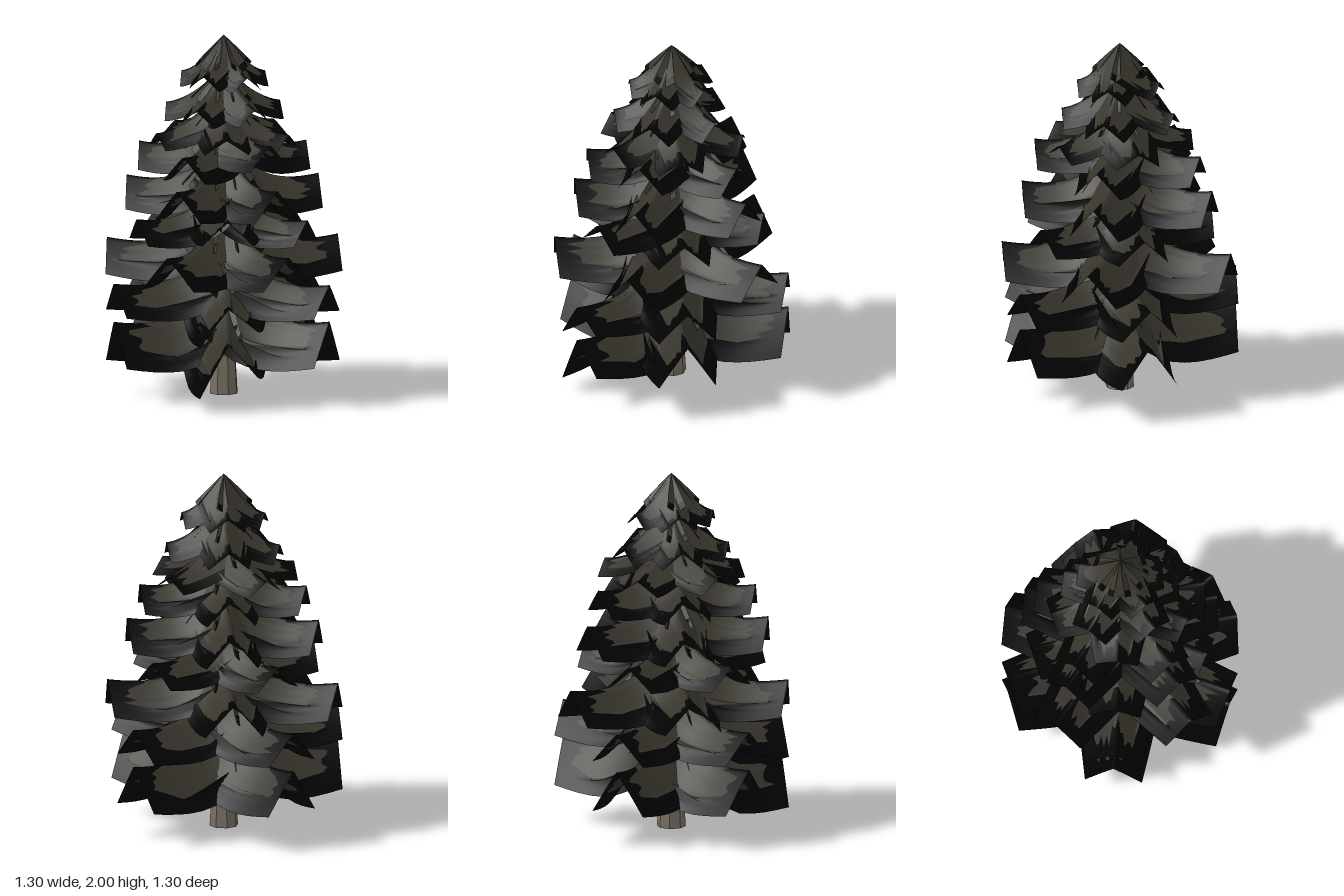
import * as THREE from 'three';
import { mergeGeometries } from 'three/addons/utils/BufferGeometryUtils.js';

// Small seeded generator for natural variation
function makeRandom(seed) {
  return () => {
    seed = (seed * 16807) % 2147483647;
    return seed / 2147483647;
  };
}

// Two sets of five branch directions, in degrees from +x towards +z
const EVEN = [45, 106, 177, 246, 332];
const ODD = [3, 75, 137, 207, 277];

// Tiers from bottom to top: reach, ridge height at the tip, flank drop,
// rise at the trunk, curve power, sag, half width at the tip;
// bent is one branch that is lifted and rolled differently
const TIERS = [
  { reach: 0.65, tip: 0.45, drop: 0.24, rise: 0.24, power: 3.3, sag: 0.11, half: 0.157, dirs: EVEN, bent: { dir: 106, lift: -0.07, roll: 0.06 } },
  { reach: 0.65, tip: 0.66, drop: 0.17, rise: 0.24, power: 3.3, sag: 0.1, half: 0.157, dirs: EVEN, bent: { dir: 106, lift: -0.08, roll: 0.045 } },
  { reach: 0.65, tip: 0.86, drop: 0.18, rise: 0.24, power: 3.3, sag: 0.1, half: 0.157, dirs: ODD },
  { reach: 0.515, tip: 1.01, drop: 0.13, rise: 0.22, power: 2.8, sag: 0.08, half: 0.14, dirs: EVEN, bent: { dir: 106, lift: 0.03, roll: 0 } },
  { reach: 0.54, tip: 1.21, drop: 0.17, rise: 0.22, power: 3, sag: 0.09, half: 0.14, dirs: ODD },
  { reach: 0.47, tip: 1.4, drop: 0.14, rise: 0.2, power: 2.6, sag: 0.08, half: 0.13, dirs: ODD, bent: { dir: 75, lift: 0.05, roll: 0 } },
  { reach: 0.4, tip: 1.48, drop: 0.08, rise: 0.2, power: 1.7, sag: 0, half: 0.12, dirs: EVEN },
  { reach: 0.32, tip: 1.63, drop: 0.09, rise: 0.2, power: 1.6, sag: 0, half: 0.11, dirs: ODD },
  { reach: 0.235, tip: 1.8, drop: 0.075, rise: 0.2, power: 1.6, sag: 0, half: 0.095, dirs: ODD },
];

// Point on a folded, drooping branch: u runs across (-1..1), v outwards (0..1);
// it is widest and steepest at the trunk
function branchPoint(t, u, v, lift, roll) {
  const side = Math.abs(u);
  const ridge = t.tip + t.rise * (1 - v) ** t.power - t.sag * v * (1 - v);
  const drop = t.drop + Math.sign(u) * roll * v + 0.08 * (1 - v) ** 2;
  const y = ridge - side ** 1.05 * drop + Math.min(v * 2, 1) * lift;
  return [v * t.reach * (1 - 0.025 * side), y, u * t.half * (1.65 - 0.65 * v)];
}

// Strip of the branch between two limits along its length
function branchStrip(columns, rows, point, from, to) {
  const positions = [];
  const index = [];
  for (let i = 0; i <= columns; i++) {
    for (let j = 0; j <= rows; j++) {
      const v = from[i] + (to[i] - from[i]) * (j / rows);
      positions.push(...point(-1 + (2 * i) / columns, v));
      if (i < columns && j < rows) {
        const a = i * (rows + 1) + j;
        const b = a + rows + 1;
        index.push(a, b, a + 1, a + 1, b, b + 1);
      }
    }
  }
  const geometry = new THREE.BufferGeometry();
  geometry.setAttribute('position', new THREE.Float32BufferAttribute(positions, 3));
  geometry.setIndex(index);
  geometry.computeVertexNormals();
  return geometry;
}

// Ragged limit between needles and fringe: forked at the ridge, short at the edges
function needleLimit(side, random) {
  if (side > 0.82) return 0.02;
  if (side > 0.66) return 0.2 + random() * 0.55;
  if (side < 0.16) return 0.62 + random() * 0.14;
  return 0.76 + random() * 0.15;
}

function buildTier(tier, number, random, needles, fringe) {
  const columns = 24;
  const inner = [];
  const outer = [];
  for (const degrees of tier.dirs) {
    const bent = tier.bent && tier.bent.dir === degrees;
    const lift = bent ? tier.bent.lift : -random() * 0.012;
    const roll = bent ? tier.bent.roll : 0;
    const point = (u, v) => branchPoint(tier, u, v, lift, roll);

    const limit = [];
    for (let i = 0; i <= columns; i++) {
      limit.push(needleLimit(Math.abs(-1 + (2 * i) / columns), random));
    }
    const start = limit.map(() => 0);
    const end = limit.map(() => 1);
    const turn = (-degrees * Math.PI) / 180;
    inner.push(branchStrip(columns, 9, point, start, limit).rotateY(turn));
    outer.push(branchStrip(columns, 8, point, limit, end).rotateY(turn));
  }
  const group = new THREE.Group();
  group.name = `branchTier${number + 1}`;
  const needleMesh = new THREE.Mesh(mergeGeometries(inner), needles);
  needleMesh.name = 'branchNeedles';
  const fringeMesh = new THREE.Mesh(mergeGeometries(outer), fringe);
  fringeMesh.name = 'branchFringe';
  group.add(needleMesh, fringeMesh);
  return group;
}

export function createModel() {
  const needles = new THREE.MeshStandardMaterial({ color: 0x36342b, side: THREE.DoubleSide });
  needles.name = 'darkOliveNeedles';
  const fringe = new THREE.MeshStandardMaterial({ color: 0x020202, side: THREE.DoubleSide });
  fringe.name = 'blackFringe';
  const bark = new THREE.MeshStandardMaterial({ color: 0x776e63, flatShading: true });
  bark.name = 'greyBrownBark';

  const tree = new THREE.Group();
  tree.name = 'pineTree';

  // Tapered trunk with a slightly flared foot
  const profile = [[0, 0], [0.08, 0], [0.068, 0.2], [0.055, 0.6], [0.015, 1.75], [0, 1.75]];
  const trunk = new THREE.Mesh(
    new THREE.LatheGeometry(profile.map(([r, y]) => new THREE.Vector2(r, y)), 8),
    bark
  );
  trunk.name = 'trunk';
  tree.add(trunk);

  const random = makeRandom(71);
  TIERS.forEach((tier, i) => tree.add(buildTier(tier, i, random, needles, fringe)));
  return tree;
}
